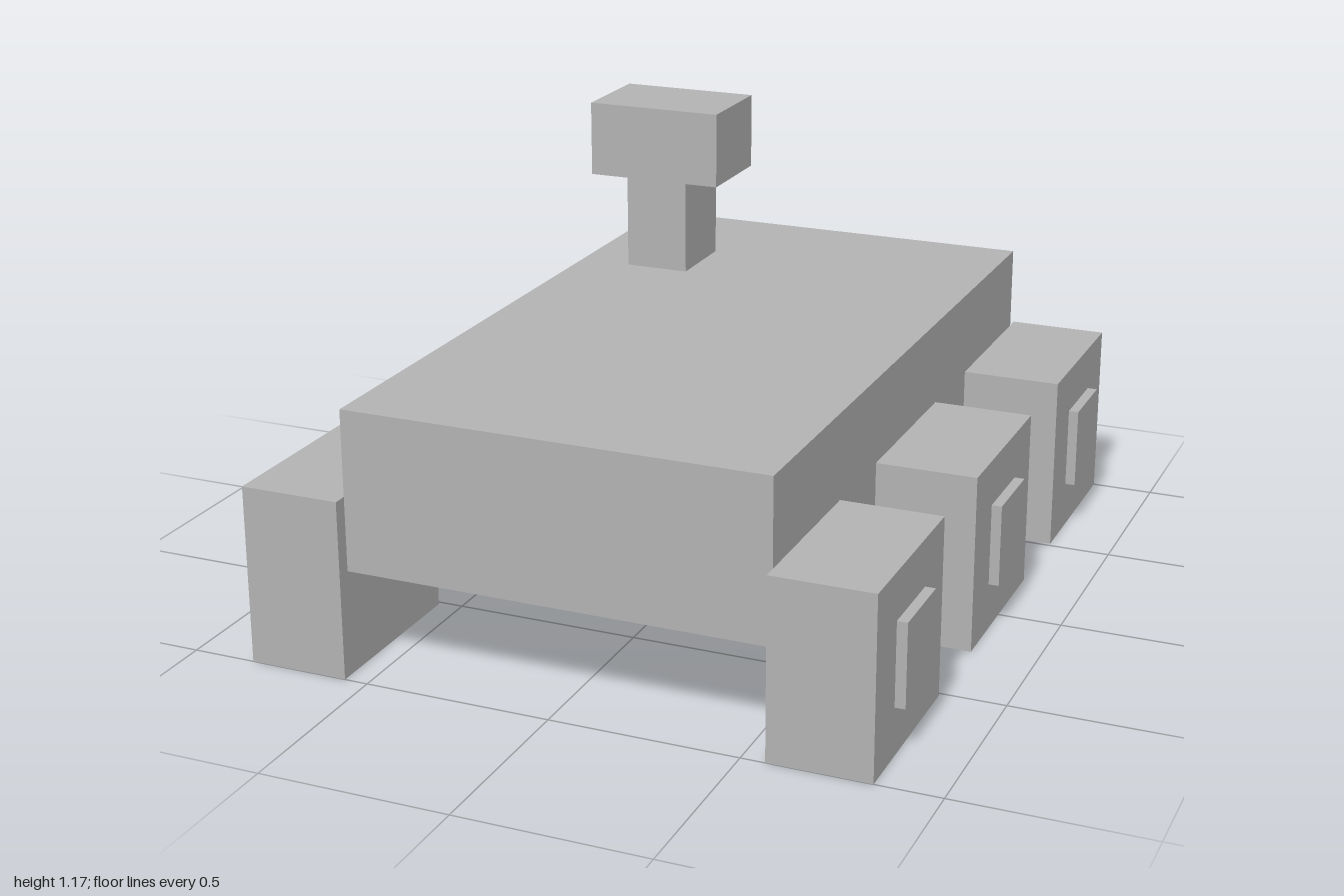
import * as THREE from 'three';

export function createModel() {
  const model = new THREE.Group();
  const grey = new THREE.MeshStandardMaterial({ color: 0xb2b2b2 });
  grey.name = 'plain grey';

  // Adds a box spanning the given [min, max] range on each axis
  function addBox(name, [x0, x1], [y0, y1], [z0, z1]) {
    const mesh = new THREE.Mesh(new THREE.BoxGeometry(x1 - x0, y1 - y0, z1 - z0), grey);
    mesh.position.set((x0 + x1) / 2, (y0 + y1) / 2, (z0 + z1) / 2);
    mesh.name = name;
    model.add(mesh);
  }

  // Chassis
  addBox('body', [-0.563, 0.563], [0.279, 0.705], [-0.962, 0.962]);

  // Mast with camera head and rear-facing lens
  addBox('mast', [-0.418, -0.239], [0.705, 0.967], [-0.628, -0.406]);
  addBox('cameraHead', [-0.52, -0.138], [0.967, 1.174], [-0.65, -0.388]);
  addBox('cameraLens', [-0.445, -0.212], [1.019, 1.122], [-0.694, -0.65]);

  // Three block wheels per side, each with a raised hub plate
  for (const side of [-1, 1]) {
    const span = (a, b) => (side > 0 ? [a, b] : [-b, -a]);
    const label = side > 0 ? 'left' : 'right';
    ['Rear', 'Middle', 'Front'].forEach((row, i) => {
      const z = (i - 1) * 0.756;
      addBox(`${label}${row}Wheel`, span(0.563, 0.83), [0, 0.477], [z - 0.244, z + 0.244]);
      addBox(`${label}${row}Hub`, span(0.83, 0.857), [0.13, 0.351], [z - 0.104, z + 0.104]);
    });
  }
  return model;
}
